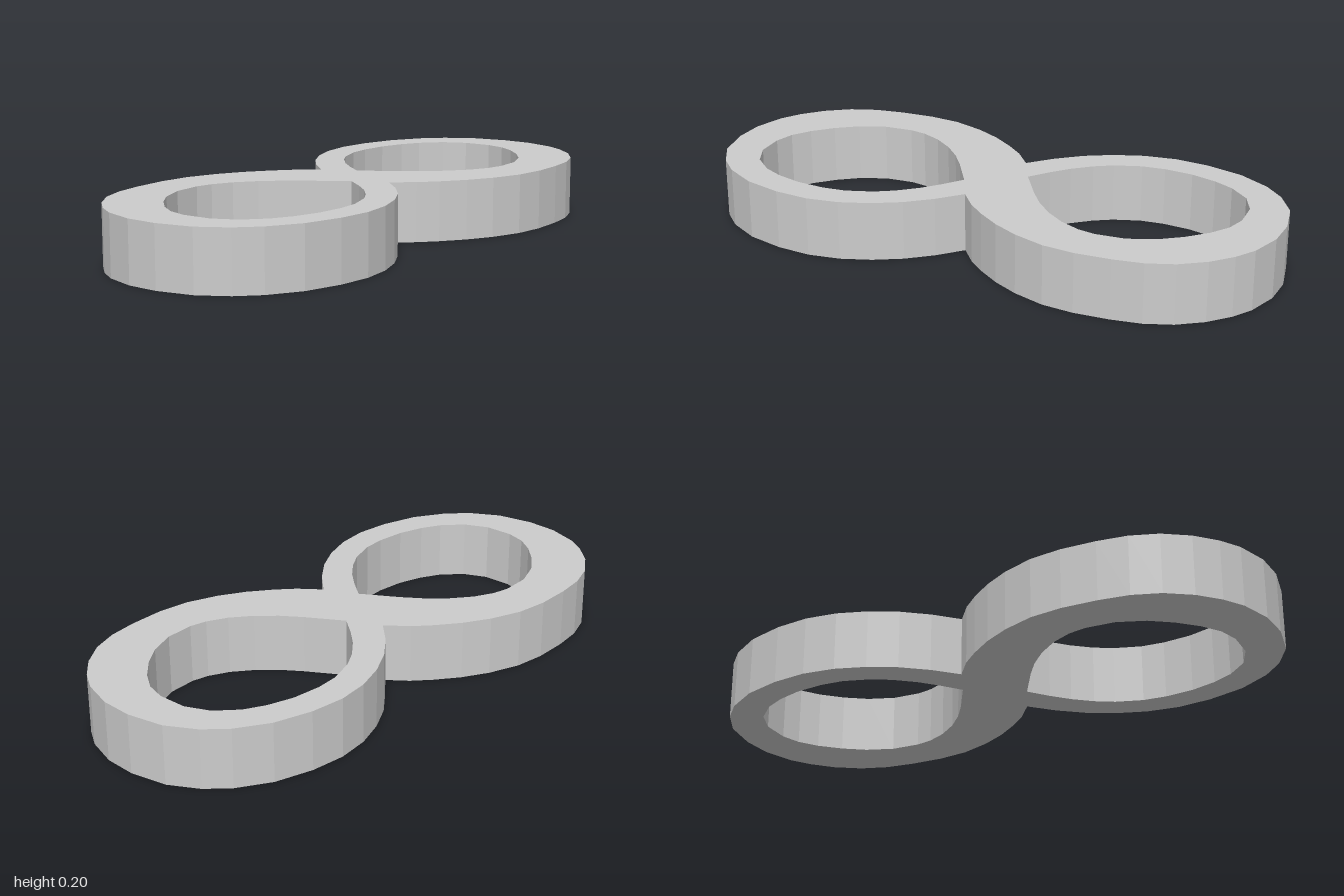
import * as THREE from 'three';

const HEIGHT = 0.203;

// Plan outline [x, z] of one lobe; the other lobe is its half-turn copy.
const outerLobe = [
  [0.03, -0.17], [0.10, -0.25], [0.18, -0.32], [0.27, -0.375], [0.37, -0.415], [0.48, -0.434],
  [0.60, -0.427], [0.73, -0.395], [0.84, -0.335], [0.91, -0.27], [0.97, -0.175], [1.0, -0.05],
  [1.0, 0.06], [0.97, 0.17], [0.93, 0.24], [0.87, 0.31], [0.79, 0.37], [0.70, 0.407],
  [0.60, 0.425], [0.48, 0.434], [0.37, 0.425], [0.26, 0.39], [0.17, 0.345], [0.09, 0.29], [0.03, 0.24],
];

// Teardrop opening of the same lobe, starting at its pointed end.
const lobeHole = [
  [0.09, -0.06], [0.14, -0.13], [0.19, -0.19], [0.25, -0.245], [0.31, -0.285], [0.40, -0.32],
  [0.48, -0.33], [0.58, -0.325], [0.67, -0.302], [0.74, -0.27], [0.81, -0.21], [0.85, -0.13],
  [0.857, -0.03], [0.84, 0.04], [0.80, 0.105], [0.74, 0.17], [0.67, 0.225], [0.58, 0.265],
  [0.48, 0.275], [0.42, 0.265], [0.35, 0.235], [0.28, 0.185], [0.22, 0.125], [0.17, 0.06], [0.13, 0.0],
];

const halfTurn = (points) => points.map(([x, z]) => [-x, -z]);
// The shape's y axis becomes -z once the slab is laid flat.
const toPlan = (points) => points.map(([x, z]) => new THREE.Vector2(x, -z));
// Openings run opposite to the outline so their walls face inward.
const toHole = (points) => new THREE.Path(toPlan(points).reverse());

export function createModel() {
  const model = new THREE.Group();
  model.name = 'figureEight';

  const shape = new THREE.Shape(toPlan([...outerLobe, ...halfTurn(outerLobe)]));
  shape.holes.push(toHole(lobeHole), toHole(halfTurn(lobeHole)));

  // Flat slab with faceted walls, standing on the ground
  const geometry = new THREE.ExtrudeGeometry(shape, { depth: HEIGHT, bevelEnabled: false });
  geometry.rotateX(-Math.PI / 2);

  const band = new THREE.Mesh(
    geometry,
    new THREE.MeshStandardMaterial({ color: 0xcccccc, flatShading: true })
  );
  band.name = 'loopBand';
  model.add(band);
  return model;
}
